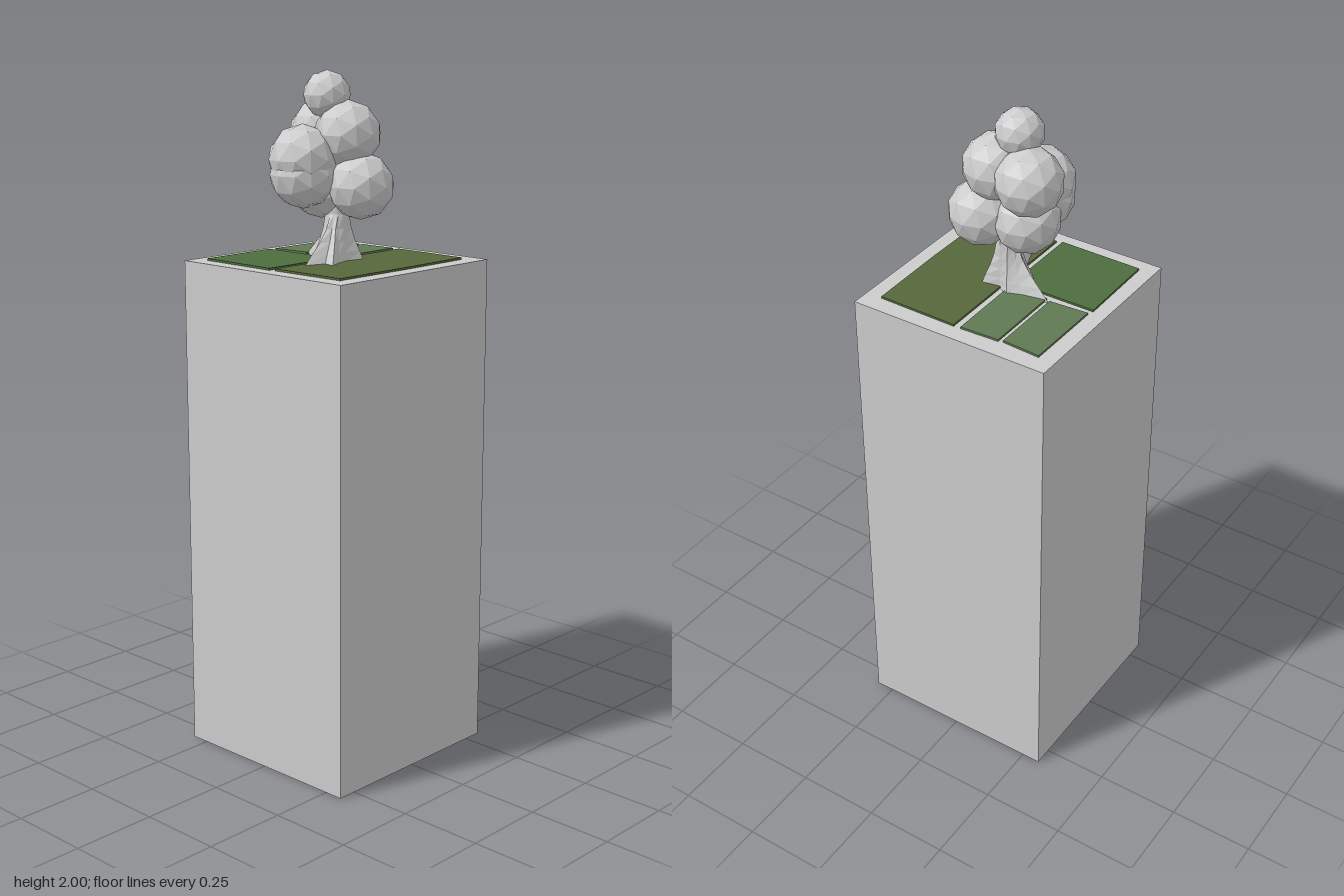
import * as THREE from 'three';

const TOP = 1.465; // height of the pedestal top

const material = (color = 0xcccccc, side = THREE.FrontSide) =>
  new THREE.MeshStandardMaterial({ color, side, flatShading: true });

function addMesh(parent, name, geometry, mat) {
  const mesh = new THREE.Mesh(geometry, mat);
  mesh.name = name;
  parent.add(mesh);
  return mesh;
}

// Thin slab of turf from an outline of [x, z] corners
function slabGeometry(outline) {
  const shape = new THREE.Shape(outline.map(([x, z]) => new THREE.Vector2(x, -z)));
  const geometry = new THREE.ExtrudeGeometry(shape, { depth: 0.006, bevelEnabled: false });
  return geometry.rotateX(-Math.PI / 2).translate(0, TOP, 0);
}

// Trunk: a star of roots that narrows ring by ring into a round stem
function trunkGeometry() {
  const roots = [
    [0.05, -0.02], [0.03, 0.015], [0.04, 0.07], [-0.02, 0.06], [-0.06, 0.07], [-0.115, 0.095],
    [-0.105, 0.055], [-0.168, 0.035], [-0.09, 0.005], [-0.06, -0.04], [-0.02, -0.06], [0.02, -0.138],
    [0.035, -0.06],
  ];
  const centre = [-0.005, 0.008];
  const rings = [[TOP, 1], [1.495, 0.72], [1.525, 0.42], [1.56, 0.16], [1.6, 0], [1.74, 0]];
  const n = roots.length;
  const positions = [];
  const index = [];
  rings.forEach(([y, spread], j) => {
    roots.forEach(([x, z], i) => {
      const angle = Math.atan2(z - centre[1], x - centre[0]);
      const stemX = centre[0] + 0.034 * Math.cos(angle);
      const stemZ = centre[1] + 0.034 * Math.sin(angle);
      positions.push(THREE.MathUtils.lerp(stemX, x, spread), y, THREE.MathUtils.lerp(stemZ, z, spread));
      if (j === 0) return;
      const a = (j - 1) * n + i, b = (j - 1) * n + (i + 1) % n;
      index.push(a, a + n, b, b, a + n, b + n);
    });
  });
  const geometry = new THREE.BufferGeometry();
  geometry.setAttribute('position', new THREE.Float32BufferAttribute(positions, 3));
  geometry.setIndex(index);
  geometry.computeVertexNormals();
  return geometry;
}

export function createModel() {
  const model = new THREE.Group();
  model.name = 'treeOnPedestal';

  // Pedestal, open underneath
  const box = new THREE.BoxGeometry(0.612, TOP, 0.612).translate(0, TOP / 2, 0);
  const faces = Array.from(box.index.array);
  faces.splice(18, 6); // drop the bottom face
  box.setIndex(faces);
  box.clearGroups();
  addMesh(model, 'pedestal', box, material(0xcccccc, THREE.DoubleSide));

  // Four turf fields
  const fields = [
    ['frontField', 0x57683b, [[-0.258, 0.012], [0.256, 0.012], [0.252, 0.255], [0, 0.258], [-0.255, 0.255]]],
    ['backRightField', 0x4e6d3e, [[-0.26, -0.26], [-0.009, -0.263], [-0.009, -0.005], [-0.263, -0.006]]],
    ['backLeftField', 0x607953, [[0.01, -0.258], [0.253, -0.256], [0.246, -0.14], [0.018, -0.14]]],
    ['middleLeftField', 0x607953, [[0.01, -0.127], [0.25, -0.127], [0.255, -0.01], [0.01, -0.008]]],
  ];
  for (const [name, color, outline] of fields) {
    addMesh(model, name, slabGeometry(outline), material(color));
  }

  // Tree
  const tree = new THREE.Group();
  tree.name = 'tree';
  model.add(tree);
  addMesh(tree, 'trunk', trunkGeometry(), material(0xcccccc, THREE.DoubleSide));

  // Foliage balls: x, y, z, radius
  const balls = [
    [-0.02, 1.932, -0.017, 0.068],
    [0.023, 1.822, -0.075, 0.096],
    [0.002, 1.825, 0.042, 0.095],
    [0.015, 1.682, 0.08, 0.096],
    [-0.017, 1.68, -0.042, 0.096],
    [-0.1, 1.757, -0.034, 0.098],
    [-0.098, 1.715, -0.034, 0.097],
  ];
  const leafMaterial = material();
  balls.forEach(([x, y, z, radius], i) => {
    const ball = addMesh(tree, `foliage${i + 1}`, new THREE.IcosahedronGeometry(radius, 1), leafMaterial);
    ball.position.set(x, y, z);
  });

  return model;
}
